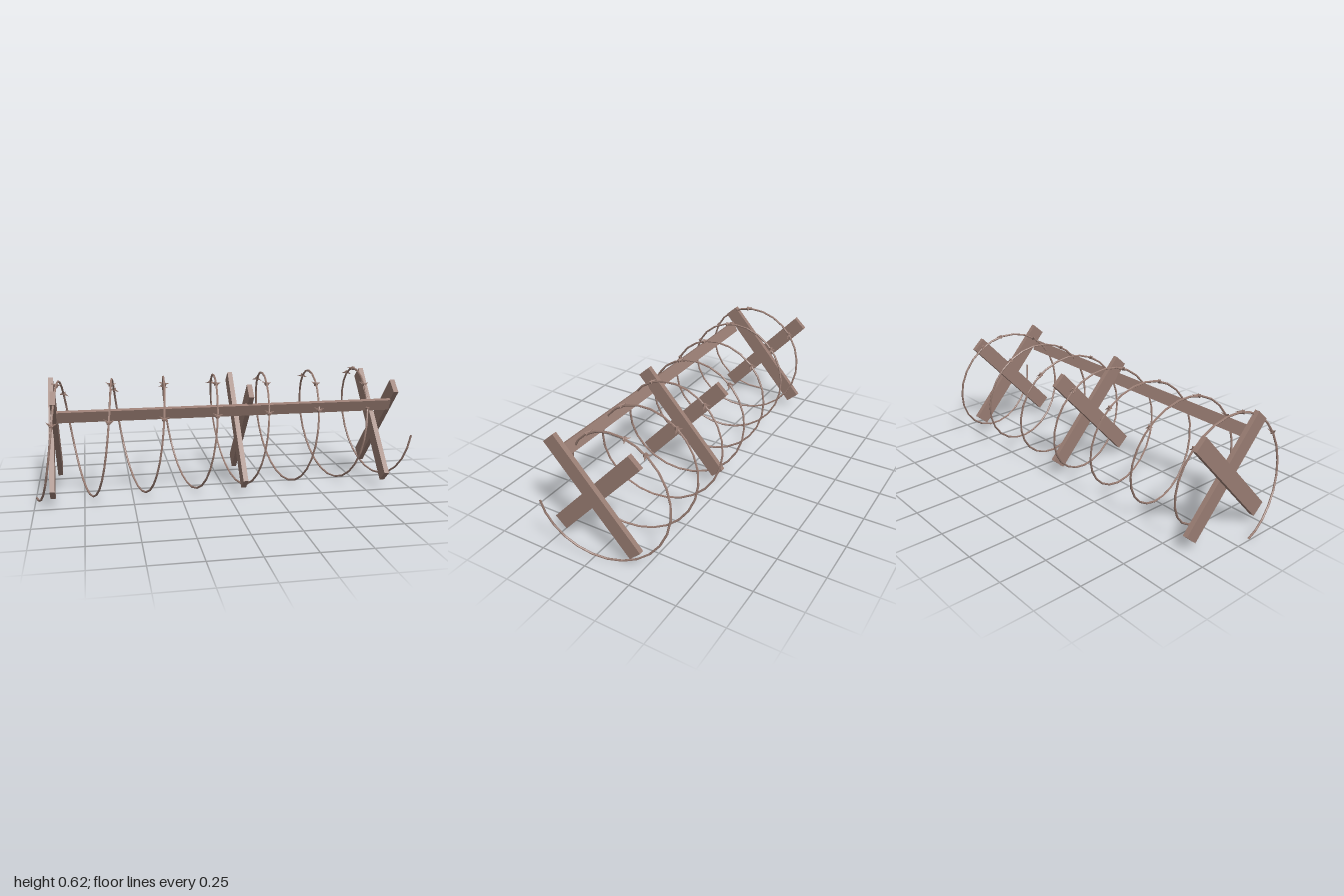
import * as THREE from 'three';

const TURN = Math.PI * 2;
const PITCH = 0.2732;
const END = 45.5; // total winding angle of the coil

// Coil that starts at the bottom and winds towards the front
class CoilCurve extends THREE.Curve {
  getPoint(u, target = new THREE.Vector3()) {
    const t = u * END;
    return target.set(-1 + (PITCH * t) / TURN, 0.312 - 0.304 * Math.cos(t), 0.306 * Math.sin(t));
  }
}

export function createModel() {
  const model = new THREE.Group();
  const brown = new THREE.MeshStandardMaterial({ color: 0x987c72 });
  brown.name = 'weathered brown';

  function plank(parent, name, size, position, tilt) {
    const mesh = new THREE.Mesh(new THREE.BoxGeometry(...size), brown);
    mesh.name = name;
    mesh.position.set(...position);
    mesh.rotation.x = tilt;
    parent.add(mesh);
  }

  // Three crossed supports, two planks side by side in each
  for (const x of [-0.893, 0.092, 0.867]) {
    const cross = new THREE.Group();
    cross.name = 'crossSupport';
    cross.position.set(x, 0.322, 0.014);
    plank(cross, 'forwardPlank', [0.026, 0.674, 0.082], [0.013, 0, 0], 0.739);
    plank(cross, 'backwardPlank', [0.026, 0.674, 0.082], [-0.013, 0, 0], -0.739);
    model.add(cross);
  }

  // Long board joining the supports
  plank(model, 'crossBeam', [1.735, 0.063, 0.018], [0, 0.469, 0.216], 0.43);

  // Wire coil, turned slightly across the frame
  const coil = new THREE.Group();
  coil.name = 'wireCoil';
  coil.rotation.y = 0.073;
  model.add(coil);

  const curve = new CoilCurve();
  const wireGeometry = new THREE.TubeGeometry(curve, 180, 0.0055, 6).toNonIndexed();
  wireGeometry.computeVertexNormals();
  const wire = new THREE.Mesh(wireGeometry, brown);
  wire.name = 'wire';
  coil.add(wire);

  // Barbs: two small spikes splayed across the wire, on the upper half of each turn
  const spikeGeometry = new THREE.ConeGeometry(0.011, 0.042, 4).toNonIndexed();
  spikeGeometry.computeVertexNormals();
  spikeGeometry.translate(0, 0.012, 0);

  function barb(t) {
    const group = new THREE.Group();
    group.name = 'barb';
    group.position.copy(curve.getPoint(t / END));
    group.quaternion.setFromUnitVectors(new THREE.Vector3(0, 1, 0), curve.getTangent(t / END));
    for (const side of [-1, 1]) {
      const spike = new THREE.Mesh(spikeGeometry, brown);
      spike.name = 'spike';
      spike.rotation.z = side;
      group.add(spike);
    }
    coil.add(group);
  }

  // Barbs creep back along the wire from turn to turn; the last turn has one more
  for (let turn = 0; turn < 7; turn++) {
    const angles = [2.05, 2.95 - 0.07 * turn, 4 - 0.05 * turn];
    if (turn === 6) angles.push(3.3);
    for (const angle of angles) barb(turn * TURN + angle);
  }

  return model;
}
